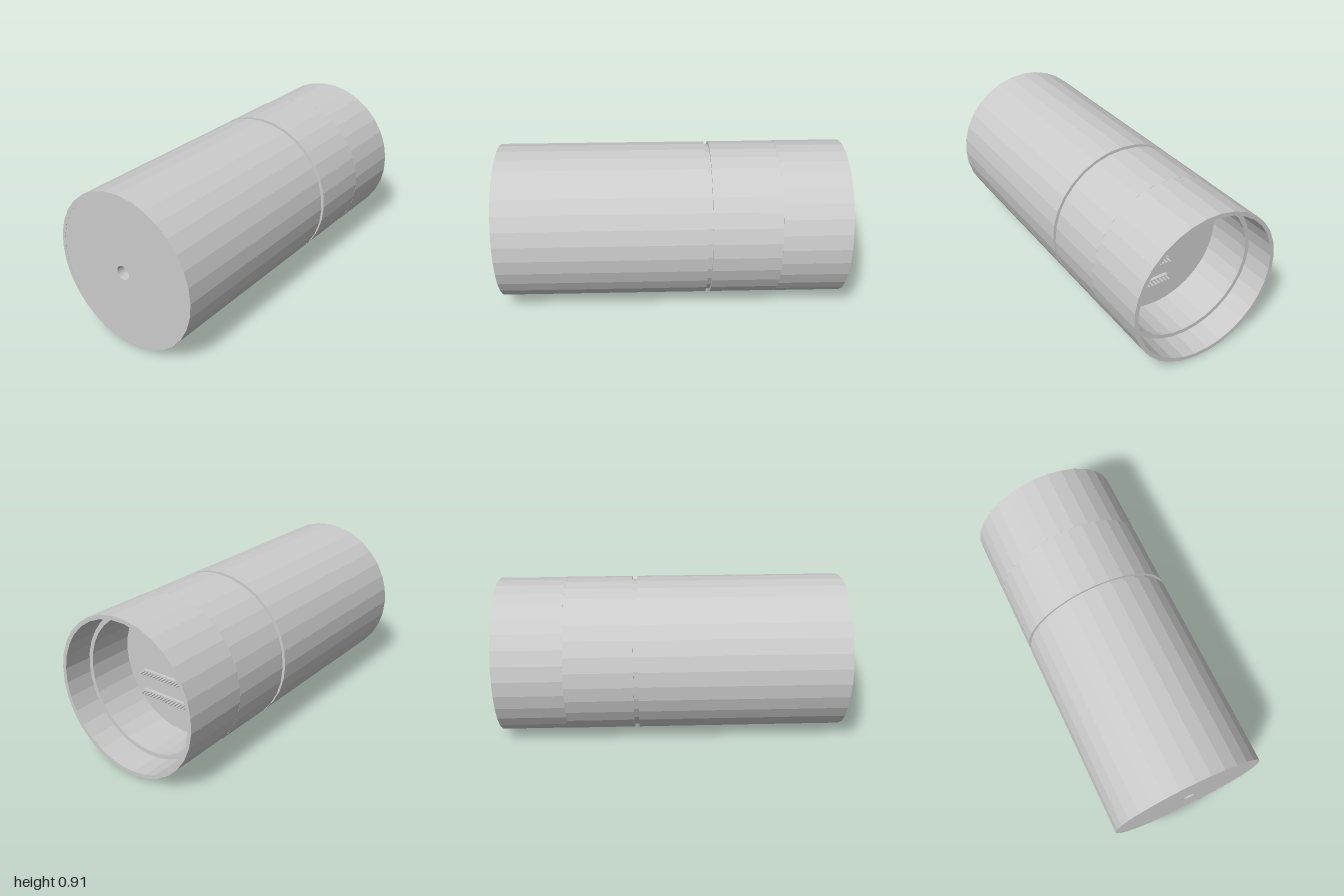
import * as THREE from 'three';

const SIDES = 32;
const R = 0.4535; // outer radius of the casing

export function createModel() {
  const model = new THREE.Group();
  const material = new THREE.MeshStandardMaterial({ color: 0xcccccc, flatShading: true });

  // Everything is laid out around the z axis, then lifted to stand on y = 0
  const add = (name, geometry, parent = model) => {
    const mesh = new THREE.Mesh(geometry, material);
    mesh.name = name;
    parent.add(mesh);
    return mesh;
  };

  // Hollow ring with a rectangular section, running from z0 (rear) to z1 (front)
  const ring = (name, outer, inner, z0, z1, turn = 0, sides = SIDES) => {
    const profile = [[inner, z0], [outer, z0], [outer, z1], [inner, z1], [inner, z0]]
      .map(([r, z]) => new THREE.Vector2(r, z));
    const geometry = new THREE.LatheGeometry(profile, sides).rotateX(Math.PI / 2);
    geometry.rotateZ(turn * Math.PI * 2 / sides);
    return add(name, geometry);
  };

  // Casing: long front shell, short middle collar and open rear sleeve
  ring('frontShell', R, 0.432, -0.195, 1);
  ring('middleCollar', R, 0.43, -0.61, -0.222);
  ring('rearSleeve', R, 0.43, -1, -0.61, 0.5);

  // Inner coupling: floor of the outer groove and the ledge inside the sleeve
  ring('innerCoupling', 0.436, 0.405, -0.82, -0.15);
  ring('sealingLip', 0.42, 0.395, -0.84, -0.82);

  // Front cap with a small round opening
  const disc = new THREE.Shape().absarc(0, 0, 0.434, 0, Math.PI * 2, false);
  disc.holes.push(new THREE.Path().absarc(0, 0, 0.041, 0, Math.PI * 2, true));
  const cap = new THREE.ExtrudeGeometry(disc, { depth: 0.05, bevelEnabled: false, curveSegments: SIDES });
  add('frontCap', cap.translate(0, 0, 0.949));

  // Blind floor behind the opening
  const floor = new THREE.CylinderGeometry(0.06, 0.06, 0.02, 24).rotateX(Math.PI / 2);
  add('openingFloor', floor.translate(0, 0, 0.935));

  // Mounting plate inside the rear
  const plate = new THREE.CylinderGeometry(0.41, 0.41, 0.03, SIDES).rotateX(Math.PI / 2);
  add('mountingPlate', plate.translate(0, 0, -0.545));

  // Two rows of connector pins on the plate
  const pinCount = 15, pitch = 0.0225;
  for (const y of [-0.095, -0.222]) {
    const row = new THREE.Group();
    row.name = 'pinHeader';
    row.position.set(0.1, y, -0.56);
    add('headerStrip', new THREE.BoxGeometry(pinCount * pitch, 0.02, 0.02), row).position.z = -0.01;
    for (let i = 0; i < pinCount; i++) {
      const pin = add('pin', new THREE.BoxGeometry(0.008, 0.008, 0.04), row);
      pin.position.set((i - (pinCount - 1) / 2) * pitch, 0, -0.035);
    }
    model.add(row);
  }

  model.children.forEach((part) => { part.position.y += R; });
  return model;
}
